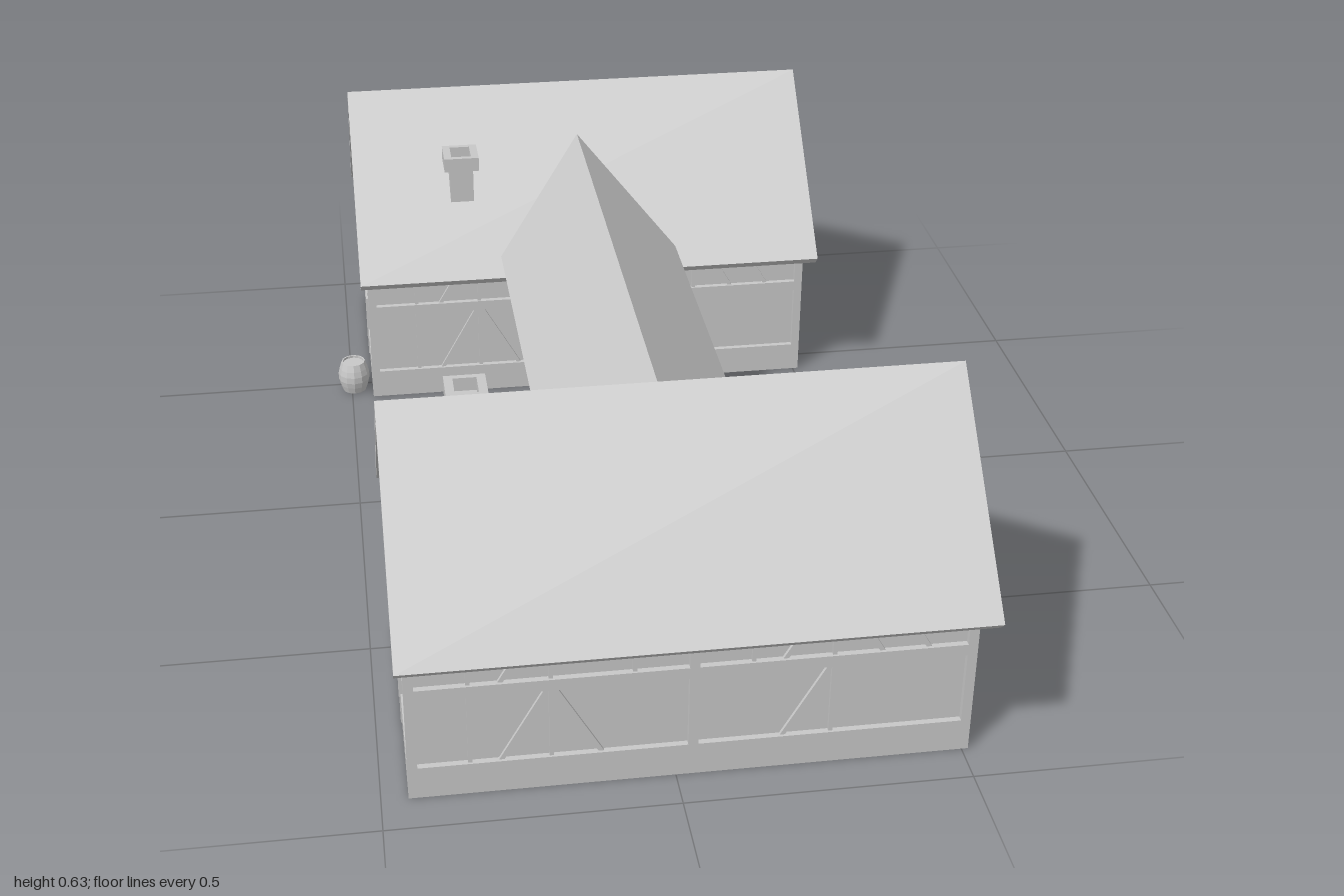
import * as THREE from 'three';

const CX = 0.029, HALF_L = 0.4825, HALF_W = 0.245, INSET = 0.011;

export function createModel() {
  const grey = new THREE.MeshStandardMaterial({ color: 0xc8c8c8, side: THREE.DoubleSide });
  grey.name = 'stoneGrey';
  grey.flatShading = true;
  const model = new THREE.Group();
  model.name = 'timberHouses';

  const group = (parent, name, x = 0, y = 0, z = 0, ry = 0) => {
    const g = new THREE.Group();
    g.name = name;
    g.position.set(x, y, z);
    g.rotation.y = ry;
    parent.add(g);
    return g;
  };
  const add = (parent, name, geo, x = 0, y = 0, z = 0) => {
    const m = new THREE.Mesh(geo, grey);
    m.name = name;
    m.position.set(x, y, z);
    parent.add(m);
    return m;
  };
  const box = (parent, name, w, h, d, x, y, z) => add(parent, name, new THREE.BoxGeometry(w, h, d), x, y, z);
  // straight timber between two points of a wall plane
  const beam = (parent, name, [u1, v1], [u2, v2], w, d, z = 0) => {
    const m = box(parent, name, Math.hypot(u2 - u1, v2 - v1), w, d, (u1 + u2) / 2, (v1 + v2) / 2, z);
    m.rotation.z = Math.atan2(v2 - v1, u2 - u1);
    return m;
  };
  const polygon = pts => new THREE.Shape(pts.map(p => new THREE.Vector2(...p)));
  const extrude = (shape, depth) =>
    new THREE.ExtrudeGeometry(shape, { depth, bevelEnabled: false, curveSegments: 5 });
  // roof of two slabs with square-cut eaves, running along local z
  const roofShape = (run, top, drop, t) => {
    const len = Math.hypot(run, drop), nx = drop / len * t, ny = run / len * t;
    const under = top - t * len / run;
    return polygon([[0, top], [-run, top - drop], [-run + nx, top - drop - ny], [0, under],
      [run - nx, top - drop - ny], [run, top - drop]]);
  };

  // plinth, corner posts and storey beams of one wall
  const frame = (w, half) => {
    box(w, 'plinth', half * 2, 0.062, 0.012, 0, 0.031, -0.006);
    box(w, 'storeyBeam', half * 2, 0.022, 0.012, 0, 0.211, -0.006);
    box(w, 'wallPlate', half * 2, 0.014, 0.012, 0, 0.362, -0.006);
    for (const s of [-1, 1]) box(w, 'cornerPost', 0.017, 0.36, 0.012, s * (half - 0.0085), 0.18, -0.006);
  };
  const LOW = [0.06, 0.202], HIGH = [0.22, 0.357];
  const post = (w, u, [a, b]) => beam(w, 'post', [u, a], [u, b], 0.007, 0.008, -0.008);
  const brace = (w, u1, u2, [a, b]) => beam(w, 'brace', [u1, a], [u2, b], 0.008, 0.007, -0.0085);

  const longWall = w => {
    add(w, 'longWallPanel', new THREE.PlaneGeometry((HALF_L - INSET) * 2, 0.37), 0, 0.185, -INSET);
    frame(w, HALF_L);
    box(w, 'middlePost', 0.017, 0.36, 0.012, 0, 0.18, -0.006);
    for (const u of [-0.377, -0.24, 0.237]) post(w, u, LOW);
    for (const u of [-0.377, -0.24, -0.1, 0.1, 0.237]) post(w, u, HIGH);
    for (const tier of [LOW, HIGH]) {
      brace(w, -0.325, -0.245, tier);
      brace(w, 0.153, 0.233, tier);
    }
    brace(w, -0.155, -0.235, LOW);
    brace(w, 0.32, 0.24, HIGH);
    brace(w, 0.4, 0.32, HIGH);
  };

  // thin wall reaching up under the roof
  const gablePanel = w => {
    const hw = HALF_W - INSET;
    const shape = polygon([[-hw, 0], [hw, 0], [hw, 0.362], [0, 0.597], [-hw, 0.362]]);
    add(w, 'gablePanel', new THREE.ShapeGeometry(shape), 0, 0, -INSET);
    frame(w, HALF_W);
  };
  const plainGable = w => {
    gablePanel(w);
    for (const tier of [LOW, HIGH]) {
      for (const u of [-0.13, 0, 0.13]) post(w, u, tier);
      for (const s of [-1, 1]) brace(w, s * 0.085, s * 0.006, tier);
    }
  };

  const archPoints = (path, r, y0, y1) => {
    path.moveTo(-r, y0);
    path.lineTo(r, y0);
    path.lineTo(r, y1);
    path.absarc(0, y1, r, 0, Math.PI, false);
    path.lineTo(-r, y0);
    return path;
  };
  const archWindow = (w, u, v) => {
    const g = group(w, 'archedWindow', u, v, -0.012);
    const shape = archPoints(new THREE.Shape(), 0.027, -0.037, 0.013);
    shape.holes.push(archPoints(new THREE.Path(), 0.022, -0.032, 0.013));
    add(g, 'windowFrame', extrude(shape, 0.01));
    box(g, 'windowBar', 0.004, 0.068, 0.006, 0, 0, 0.003);
  };
  const doorGable = w => {
    gablePanel(w);
    for (const u of [-0.09, 0.09]) post(w, u, LOW);
    for (const u of [-0.105, 0, 0.105]) post(w, u, HIGH);
    for (const u of [-0.15, 0.15]) archWindow(w, u, 0.13);
    for (const u of [-0.16, -0.052, 0.052, 0.16]) archWindow(w, u, 0.285);
    // door with frame
    box(w, 'door', 0.06, 0.125, 0.008, 0, 0.0625, -0.003);
    for (const s of [-1, 1]) box(w, 'doorPost', 0.012, 0.135, 0.014, s * 0.036, 0.0675, -0.005);
    box(w, 'doorLintel', 0.09, 0.013, 0.014, 0, 0.136, -0.005);
    // timbers of the gable triangle
    beam(w, 'collarBeam', [-0.14, 0.455], [0.14, 0.455], 0.014, 0.012, -0.006);
    beam(w, 'kingPost', [0, 0.365], [0, 0.58], 0.01, 0.01, -0.007);
    for (const s of [-1, 1]) {
      beam(w, 'gablePost', [s * 0.105, 0.365], [s * 0.105, 0.455], 0.008, 0.008, -0.008);
      archWindow(w, s * 0.052, 0.407);
    }
  };

  const chimney = (parent, x, z) => {
    const g = group(parent, 'chimney', x, 0, z);
    box(g, 'shaft', 0.05, 0.14, 0.05, 0, 0.45, 0);
    const shape = polygon([[-0.037, -0.037], [0.037, -0.037], [0.037, 0.037], [-0.037, 0.037]]);
    shape.holes.push(new THREE.Path([[-0.021, -0.026], [-0.021, 0.026], [0.021, 0.026], [0.021, -0.026]]
      .map(p => new THREE.Vector2(...p))));
    add(g, 'cap', extrude(shape, 0.03), 0, 0.515, 0).rotation.x = -Math.PI / 2;
  };

  // the two houses, hollow and open below
  const house = (name, s) => {
    const h = group(model, name, CX, 0, s * 0.681);
    add(h, 'roof', extrude(roofShape(0.318, 0.63, 0.318, 0.025), 0.995), -0.4975, 0, 0).rotation.y = Math.PI / 2;
    longWall(group(h, 'outerLongWall', 0, 0, HALF_W));
    longWall(group(h, 'innerLongWall', 0, 0, -HALF_W, Math.PI));
    plainGable(group(h, 'rightGable', HALF_L, 0, 0, Math.PI / 2));
    doorGable(group(h, 'leftGable', -HALF_L, 0, 0, -Math.PI / 2));
  };
  house('frontHouse', 1);
  house('backHouse', -1);
  chimney(model, -0.307, 0.5);
  chimney(model, -0.237, -0.515);

  // raised passage between the houses
  const bridge = group(model, 'passage', 0.026);
  add(bridge, 'passageRoof', extrude(roofShape(0.19, 0.54, 0.193, 0.016), 1.18), 0, 0, -0.59);
  for (const s of [-1, 1]) {
    const w = group(bridge, 'passageSide', s * 0.137, 0, 0, s * Math.PI / 2);
    add(w, 'passageWall', new THREE.PlaneGeometry(0.88, 0.18), 0, 0.29, -0.01);
    box(w, 'sillBeam', 0.88, 0.02, 0.014, 0, 0.21, -0.007);
    box(w, 'topBeam', 0.88, 0.014, 0.012, 0, 0.345, -0.006);
    for (const u of [-0.425, 0, 0.425]) box(w, 'mainPost', 0.017, 0.15, 0.012, u, 0.275, -0.006);
    for (const u of [-0.29, -0.145, 0.145, 0.29]) post(w, u, [0.215, 0.345]);
    for (const m of [-1, 1]) {
      brace(w, m * 0.225, m * 0.15, [0.215, 0.345]);
      brace(w, m * 0.065, m * 0.14, [0.215, 0.345]);
      // ground posts with knee braces
      const p = m * 0.155;
      box(w, 'supportPost', 0.007, 0.203, 0.007, p, 0.1015, -0.009);
      for (const k of [-1, 1])
        beam(w, 'kneeBrace', [p, 0.15], [p + k * 0.05, 0.2], 0.006, 0.006, -0.009);
      beam(w, 'wallBrace', [m * 0.435, 0.15], [m * 0.385, 0.2], 0.006, 0.006, -0.009);
    }
  }

  // barrels
  const profile = [[0, 0], [0.026, 0], [0.031, 0.015], [0.034, 0.028], [0.034, 0.042], [0.031, 0.055],
    [0.026, 0.07], [0.023, 0.07], [0.023, 0.065], [0, 0.065]].map(p => new THREE.Vector2(...p));
  for (const [x, z] of [[-0.494, -0.48], [-0.207, 0.4], [-0.277, 0.4]])
    add(model, 'barrel', new THREE.LatheGeometry(profile, 12), x, 0, z);

  return model;
}
